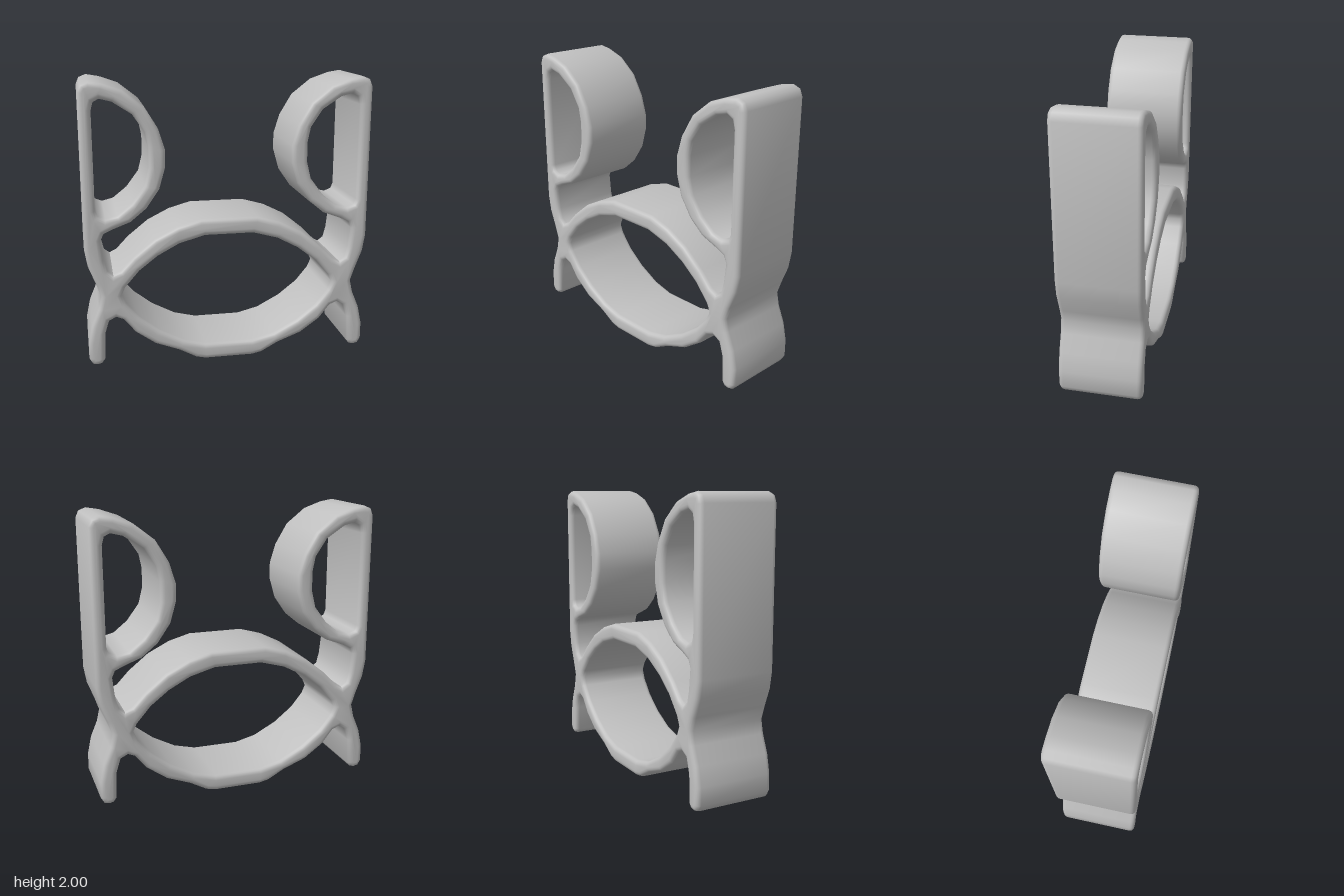
import * as THREE from 'three';
import { mergeVertices, toCreasedNormals } from 'three/addons/utils/BufferGeometryUtils.js';

const DEPTH = 0.57;
const BEVEL = 0.034;

// Right half (+x) of the outer edge, from bottom centre round to the top of the arch
const outerHalf = [
  [0.17, 0.005], [0.24, 0.02], [0.36, 0.085], [0.53, 0.15], [0.67, 0.25], [0.75, 0.35],
  [0.80, 0.37], [0.85, 0.345], [0.88, 0.25], [0.888, 0.06], [0.91, 0.03], [0.94, 0.022], // foot, inside
  [0.975, 0.03], [0.998, 0.07], [0.998, 0.19], [0.97, 0.32], [0.92, 0.44], [0.90, 0.53], // foot, outside
  [0.93, 0.62], [0.98, 0.75], [1.0, 0.87], [1.0, 1.93], [0.98, 1.98], [0.93, 2.0],       // post
  [0.84, 1.985], [0.71, 1.94], [0.57, 1.83], [0.48, 1.68], [0.437, 1.54], [0.437, 1.42], // loop
  [0.48, 1.27], [0.57, 1.14], [0.68, 1.05], [0.80, 1.005], [0.865, 0.975],
  [0.885, 0.93], [0.87, 0.79], [0.85, 0.71], [0.81, 0.68], [0.76, 0.705],                // notch
  [0.67, 0.80], [0.52, 0.92], [0.36, 1.0], [0.20, 1.045],                                // arch
];

// Right half of the lens-shaped opening
const lensHalf = [
  [0.17, 0.12], [0.33, 0.16], [0.50, 0.25], [0.64, 0.36], [0.73, 0.47], [0.755, 0.53],
  [0.73, 0.585], [0.63, 0.70], [0.50, 0.80], [0.35, 0.88], [0.17, 0.93],
];

// D-shaped opening in the upper loop
const loopHole = [
  [0.915, 1.14], [0.915, 1.81], [0.90, 1.865], [0.86, 1.885], [0.78, 1.865], [0.65, 1.78],
  [0.57, 1.66], [0.55, 1.56], [0.55, 1.42], [0.58, 1.30], [0.67, 1.18], [0.77, 1.10],
  [0.85, 1.08], [0.90, 1.10],
];

const flip = (pts) => pts.map(([x, y]) => [-x, y]).reverse();
const toVectors = (pts) => pts.map(([x, y]) => new THREE.Vector2(x, y));
const closeHalf = (pts) => toVectors([...pts, ...flip(pts)]);

export function createModel() {
  const group = new THREE.Group();
  const grey = new THREE.MeshStandardMaterial({ color: 0xc0c0c0 });
  grey.name = 'grey';

  // One continuous band profile with three openings
  const shape = new THREE.Shape(closeHalf(outerHalf));
  for (const hole of [closeHalf(lensHalf), toVectors(loopHole), toVectors(flip(loopHole))]) {
    shape.holes.push(new THREE.Path(hole));
  }

  // Extruded front to back, with the rims rounded inward
  let geometry = new THREE.ExtrudeGeometry(shape, {
    depth: DEPTH - 2 * BEVEL,
    bevelEnabled: true,
    bevelThickness: BEVEL,
    bevelSize: BEVEL,
    bevelOffset: -BEVEL,
    bevelSegments: 4,
  });
  geometry.translate(0, 0, -DEPTH / 2 + BEVEL);
  geometry.deleteAttribute('uv');
  geometry.deleteAttribute('normal');
  geometry.clearGroups();
  geometry = toCreasedNormals(mergeVertices(geometry, 1e-4), 0.9);

  const frame = new THREE.Mesh(geometry, grey);
  frame.name = 'loopedFrame';
  group.add(frame);
  return group;
}
